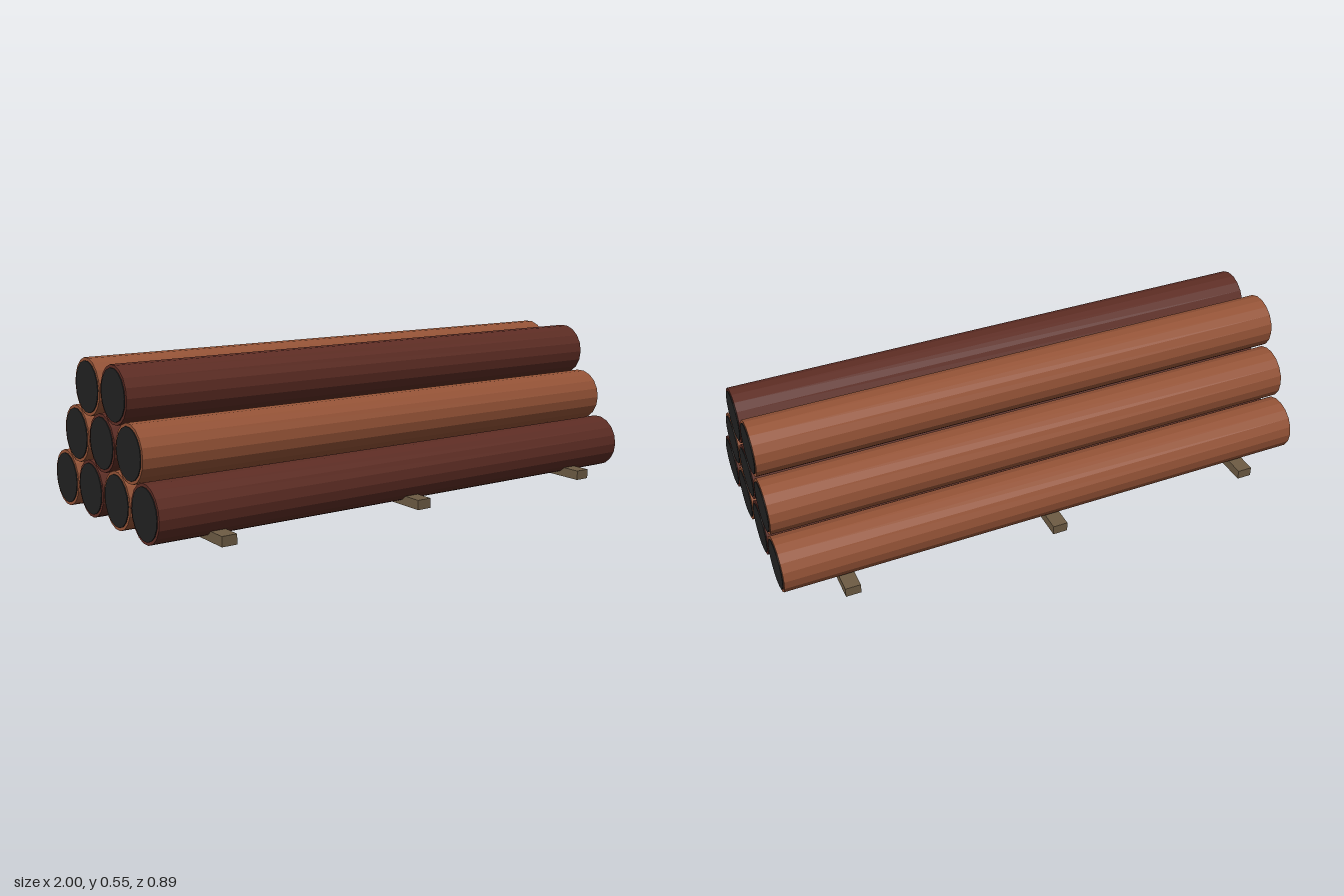
import * as THREE from 'three';

const material = (name, color, flatShading = true) => {
  const m = new THREE.MeshStandardMaterial({ color, flatShading });
  m.name = name;
  return m;
};

export function createModel() {
  const group = new THREE.Group();
  const rust = material('rust', 0x965437);
  const darkRust = material('dark rust', 0x5e2d24);
  const bore = material('dark bore', 0x222222);
  const wood = material('wood', 0x6e5c44);

  // Cylinders lying along x, with flats at top and bottom
  const lying = (radius, length) =>
    new THREE.CylinderGeometry(radius, radius, length, 18).rotateZ(Math.PI / 2);
  const pipeGeometry = lying(0.0985, 1.994);
  const boreGeometry = lying(0.088, 2);

  const add = (name, geometry, mat, x, y, z) => {
    const mesh = new THREE.Mesh(geometry, mat);
    mesh.name = name;
    mesh.position.set(x, y, z);
    group.add(mesh);
  };

  // Stacked pipes: rows of four, three and two, front to back
  const spacing = 0.2035;
  [4, 3, 2].forEach((count, row) => {
    for (let i = 0; i < count; i++) {
      const y = 0.1055 + row * 0.1735;
      const z = ((count - 1) / 2 - i) * spacing;
      add('pipe', pipeGeometry, (row + i) % 2 ? rust : darkRust, 0, y, z);
      add('pipeBore', boreGeometry, bore, 0, y, z);
    }
  });

  // Wooden skids under the stack
  const skidGeometry = new THREE.BoxGeometry(0.055, 0.035, 0.886);
  for (const x of [-0.777, 0, 0.777]) add('skid', skidGeometry, wood, x, 0.0175, 0);

  return group;
}
